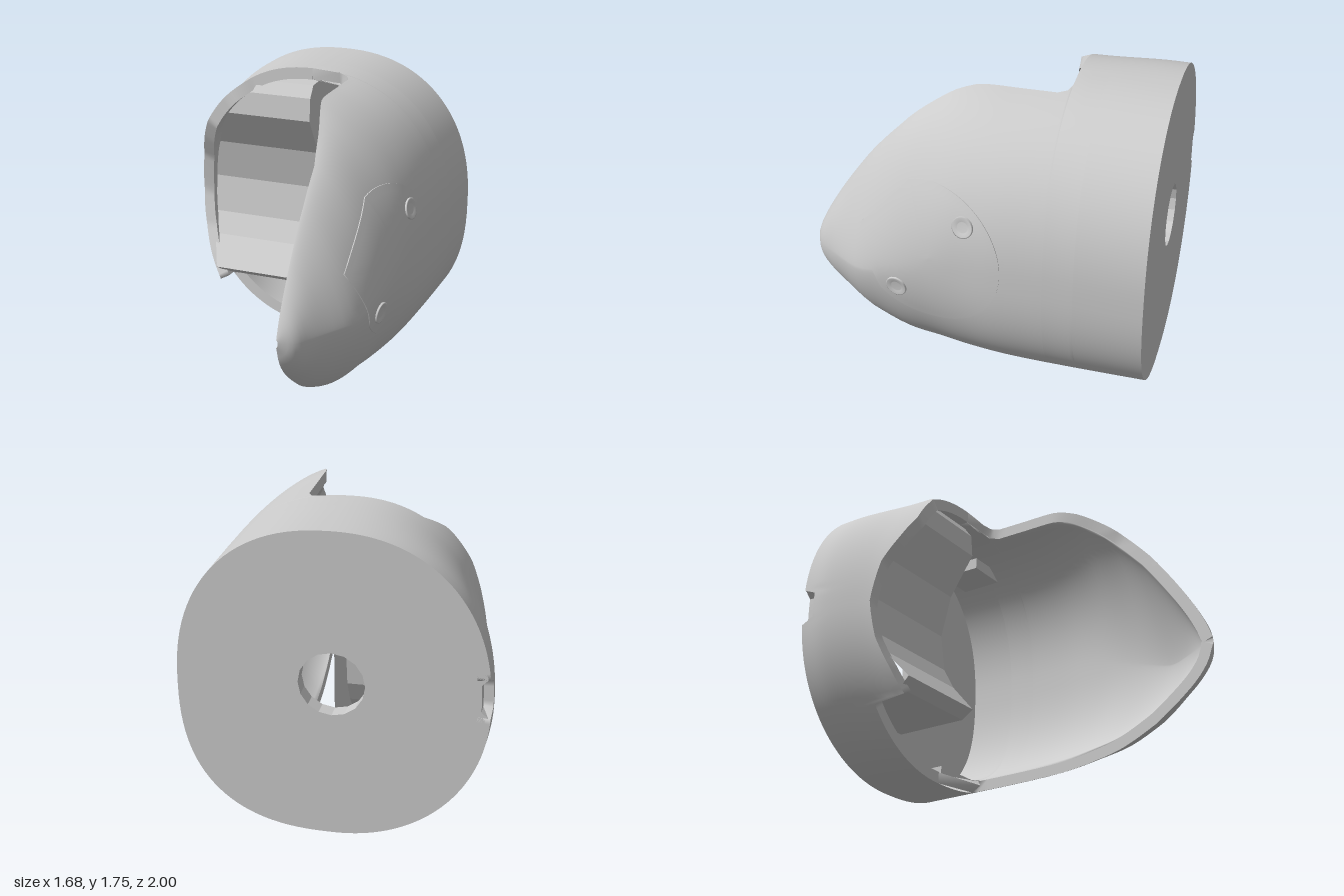
import * as THREE from 'three';
import { mergeGeometries, toCreasedNormals } from 'three/addons/utils/BufferGeometryUtils.js';

const V = (x, y, z) => new THREE.Vector3(x, y, z);
const mat = new THREE.MeshStandardMaterial({ color: 0xcccccc, side: THREE.DoubleSide });
const WALL = 0.07;

// Arm-side sections: z, half width, top, bottom, middle height, inner offset, roundness
const ARM = [
  [-1, 0.838, 1.75, 0.0, 0.85, 0, 2.27], [-0.6, 0.832, 1.75, 0.0, 0.85, 0, 2.27],
  [-0.2, 0.815, 1.75, 0.0, 0.85, 0, 2.25], [0.05, 0.787, 1.745, 0.01, 0.84, 0.05, 2.1],
  [0.2, 0.77, 1.695, 0.05, 0.81, 0.18, 1.85], [0.4, 0.742, 1.54, 0.125, 0.75, 0.33, 1.6],
  [0.6, 0.7, 1.33, 0.22, 0.69, 0.37, 1.42], [0.68, 0.668, 1.23, 0.27, 0.68, 0.37, 1.4],
  [0.8, 0.583, 1.06, 0.36, 0.67, 0.37, 1.45], [0.9, 0.508, 0.9, 0.45, 0.66, 0.37, 1.7],
  [0.965, 0.455, 0.775, 0.54, 0.655, 0.37, 1.9], [1, 0.378, 0.68, 0.635, 0.66, 0.37, 2]];
// Short-side half width along z
const SHORT = [[-1, 0.838], [-0.85, 0.838], [-0.57, 0.775], [-0.45, 0.762], [-0.33, 0.755]];
// Inner edge of the arm along z, at the top and at the bottom
const CUT_TOP = [[-1, 0], [-0.45, 0], [-0.449, 0.17], [-0.43, 0.225], [-0.38, 0.25], [0.05, 0.25],
  [0.15, 0.28], [0.3, 0.33], [0.47, 0.37], [1, 0.37]];
const CUT_BOTTOM = [[-1, 0], [-0.62, 0], [-0.619, 0.34], [-0.6, 0.37], [1, 0.37]];
// Front edge of the short side by angle in degrees from the top
const EDGE = [[0, -0.45], [28, -0.45], [33, -0.4], [38, -0.35], [42, -0.34], [56, -0.345], [66, -0.42],
  [76, -0.51], [90, -0.56], [104, -0.53], [116, -0.47], [128, -0.42], [130, -0.62], [180, -0.62]];

// Table lookup, straight or smooth
function lookup(table, x, k = 1, smooth = false) {
  let i = 0;
  while (i < table.length - 2 && x > table[i + 1][0]) i++;
  const a = table[i], b = table[i + 1], h = b[0] - a[0];
  const t = THREE.MathUtils.clamp((x - a[0]) / h, 0, 1);
  if (!smooth) return a[k] + (b[k] - a[k]) * t;
  const p = table[Math.max(i - 1, 0)], n = table[Math.min(i + 2, table.length - 1)];
  const m0 = (b[k] - p[k]) / (b[0] - p[0]) * h, m1 = (n[k] - a[k]) / (n[0] - a[0]) * h;
  const t2 = t * t, t3 = t2 * t;
  return (2 * t3 - 3 * t2 + 1) * a[k] + (t3 - 2 * t2 + t) * m0 + (3 * t2 - 2 * t3) * b[k] + (t3 - t2) * m1;
}
const armAt = z => [1, 2, 3, 4, 5, 6].map(k => lookup(ARM, z, k, true));

// Height-to-width rule of the arm surface
function armX(z, y) {
  const [w, top, bot, mid, c, n] = armAt(z);
  const v = Math.min(1, Math.abs((y - mid) / (y > mid ? top - mid : mid - bot)));
  const e = y > mid ? n : n + 0.25;
  return c + (w - c) * Math.pow(1 - Math.pow(v, e), 1 / e);
}

// Smooth sheet through rows of points
function grid(rows) {
  const m = rows[0].length, pos = [], idx = [];
  rows.forEach(r => r.forEach(p => pos.push(p.x, p.y, p.z)));
  for (let i = 0; i < rows.length - 1; i++) for (let j = 0; j < m - 1; j++) {
    const a = i * m + j, b = a + m;
    idx.push(a, b, a + 1, b, b + 1, a + 1);
  }
  const g = new THREE.BufferGeometry();
  g.setAttribute('position', new THREE.Float32BufferAttribute(pos, 3));
  g.setIndex(idx);
  g.computeVertexNormals();
  return g;
}

// Sheet thickened inward, with closed rims
function thick(rows, minX) {
  const outer = grid(rows), nor = outer.attributes.normal, m = rows[0].length;
  const last = rows.length - 1, col = (g, j) => g.map(r => r[j]);
  const inner = rows.map((r, i) => r.map((p, j) => {
    const q = p.clone().addScaledVector(V().fromBufferAttribute(nor, i * m + j), -WALL);
    if (j === 0 || j === m - 1) q.x = p.x;
    q.x = Math.max(q.x, minX(p.z));
    q.z = i === 0 || i === last && p.z < 0 ? p.z : Math.max(q.z, -1);
    return q;
  }));
  return mergeGeometries([outer, grid(inner.map(r => [...r].reverse())),
    grid([rows[last], inner[last]]), grid([inner[0], rows[0]]),
    grid([col(rows, 0), col(inner, 0)]), grid([col(inner, m - 1), col(rows, m - 1)])]);
}

// Long side of the housing with the pointed arm
function armShell() {
  const zs = [-1, -0.8, -0.62, -0.619, -0.6, -0.53, -0.45, -0.449, -0.44, -0.43, -0.41, -0.38];
  for (let i = 1; i <= 24; i++) zs.push(-0.38 + i * 0.05);
  zs.push(0.85, 0.88, 0.91, 0.935, 0.955, 0.97, 0.98, 0.99, 1);
  const N = 28;
  const rows = zs.map(z => {
    const [w, top, bot, mid, c, n] = armAt(z), row = [];
    for (let j = -N; j <= N; j++) {
      const up = j < 0, e = up ? n : n + 0.25;
      const q = Math.max(0, lookup(up ? CUT_TOP : CUT_BOTTOM, z) - c) / (w - c);
      const a = Math.acos(Math.min(1, Math.pow(q, e / 2))) * Math.abs(j) / N;
      const s = Math.pow(Math.sin(a), 2 / e);
      row.push(V(c + (w - c) * Math.pow(Math.max(0, Math.cos(a)), 2 / e), up ? mid + (top - mid) * s : mid - (mid - bot) * s, z));
    }
    return row;
  });
  return thick(rows, z => (z > 0.4 ? 0.37 : -1));
}

// Outline point of the short side at an angle from the top
function shortPoint(deg, z) {
  const a = deg * Math.PI / 180, c = Math.cos(a), n = c > 0 ? 2.24 : 2.1;
  return V(-lookup(SHORT, z, 1, true) * Math.pow(Math.max(0, Math.sin(a)), 2 / n),
    0.85 + (c > 0 ? 0.9 : 0.85) * Math.sign(c) * Math.pow(Math.abs(c), 2 / n), z);
}
const inSlot = deg => deg > 82 && deg < 94;

// Short side with scooped front edge and a rear slot
function shortShell() {
  const rows = [];
  for (let i = 0; i <= 16; i++) {
    const row = [];
    for (let d = 180; d >= 0; d -= 2) {
      const z0 = inSlot(d) ? -0.92 : -1;
      row.push(shortPoint(d, z0 + (lookup(EDGE, d) - z0) * i / 16));
    }
    rows.push(row);
  }
  return thick(rows, () => -1);
}

// Back wall with the round hole
function backWall() {
  const pts = [];
  for (let d = 0; d < 90; d += 3) pts.push(shortPoint(d, -1).multiply(V(-1, 1, 1)));
  for (let y = 0.85; y > 0.01; y -= 0.04) pts.push(V(armX(-1, y), y, -1));
  for (let d = 180; d > 0; d -= 2) pts.push(shortPoint(d, -1).multiply(V(inSlot(d) ? 0.955 : 1, 1, 1)));
  const shape = new THREE.Shape(pts.map(p => new THREE.Vector2(p.x * 0.985, 0.875 + (p.y - 0.875) * 0.985)));
  const hole = new THREE.Path();
  hole.absarc(0, 0.9, 0.18, 0, Math.PI * 2, true);
  shape.holes.push(hole);
  return new THREE.ExtrudeGeometry(shape, { depth: 0.09, bevelEnabled: false, curveSegments: 8 }).translate(0, 0, -1);
}

// Faceted hollow cradle filling the short side: [y, z] profile
function cradle() {
  const prof = [[1.66, -0.9], [1.64, -0.47], [1.57, -0.42], [1.43, -0.41], [1.19, -0.565], [0.94, -0.63],
    [0.71, -0.6], [0.58, -0.53], [0.41, -0.385], [0.36, -0.46], [0.36, -0.92]];
  const end = (y, z) => {
    const v = Math.abs(y - 0.85) / (y > 0.85 ? 0.9 : 0.85);
    return -(lookup(SHORT, z, 1, true) * Math.pow(1 - Math.pow(v, 2.15), 1 / 2.15) - 0.05);
  };
  const front = grid([prof.map(([y, z]) => V(end(y, z), y, z)), prof.map(([y, z]) => V(0, y, z))]);
  const side = new THREE.ShapeGeometry(new THREE.Shape(
    [...prof, [1.66, -0.92]].map(([y, z]) => new THREE.Vector2(-z, y)))).rotateY(Math.PI / 2);
  side.deleteAttribute('uv');
  return toCreasedNormals(mergeGeometries([front, side]), 0.05);
}

// Cover plate on the arm: circle with two straight edges toward the front
function coverPlate() {
  const out = [];
  const a0 = Math.atan2(0.41, 0.15), a1 = Math.atan2(-0.3, 0.32) + Math.PI * 2;
  for (let i = 0; i <= 48; i++) {
    const a = a0 + (a1 - a0) * i / 48;
    out.push([0.2 + 0.415 * Math.cos(a), 0.89 + 0.42 * Math.sin(a)]);
  }
  const line = (z, y) => {
    const [p, q] = out[out.length - 1];
    for (let i = 1; i <= 8; i++) out.push([p + (z - p) * i / 8, q + (y - q) * i / 8]);
  };
  line(0.645, 0.95);
  line(...out[0]);
  const rows = [];
  for (let i = 0; i <= 10; i++) rows.push(out.map(([z, y]) => {
    const pz = 0.2 + (z - 0.2) * i / 10, py = 0.89 + (y - 0.89) * i / 10;
    return V(armX(pz, py) + 0.005, py, pz);
  }));
  const rim = [rows[10], rows[10].map(p => p.clone().setX(p.x - 0.02))];
  return mergeGeometries([grid(rows), grid(rim)]);
}

// Countersunk screw seat facing along the arm surface
function screw(z, y) {
  const seat = new THREE.LatheGeometry([[0, 0.003], [0.03, 0.003], [0.034, 0.005], [0.056, 0.01], [0.062, 0.008], [0.062, -0.02]]
    .map(p => new THREE.Vector2(...p)), 24);
  const mesh = new THREE.Mesh(seat, mat), d = 0.03;
  const n = V(1, -(armX(z, y + d) - armX(z, y - d)) / (2 * d), -(armX(z + d, y) - armX(z - d, y)) / (2 * d)).normalize();
  mesh.quaternion.setFromUnitVectors(V(0, 1, 0), n);
  mesh.position.set(armX(z, y) + 0.004, y, z);
  return mesh;
}

export function createModel() {
  const group = new THREE.Group();
  const add = (name, geo, x = 0, y = 0, z = 0) => {
    const m = new THREE.Mesh(geo, mat);
    m.name = name;
    m.position.set(x, y, z);
    group.add(m);
  };
  add('armShell', armShell());
  add('shortShell', shortShell());
  add('backWall', backWall());
  add('cradle', cradle());
  add('coverPlate', coverPlate());
  [[0, 1.125], [0.4, 0.65]].forEach(([z, y], i) => {
    const s = screw(z, y);
    s.name = 'screwSeat' + (i + 1);
    group.add(s);
  });
  // Inner bracket and floor rib
  add('innerBracket', new THREE.BoxGeometry(0.26, 0.07, 0.26), 0.4, 1.545, -0.7);
  add('floorRib', new THREE.BoxGeometry(0.32, 0.05, 0.28), 0.21, 0.1, -0.78);
  return group;
}
